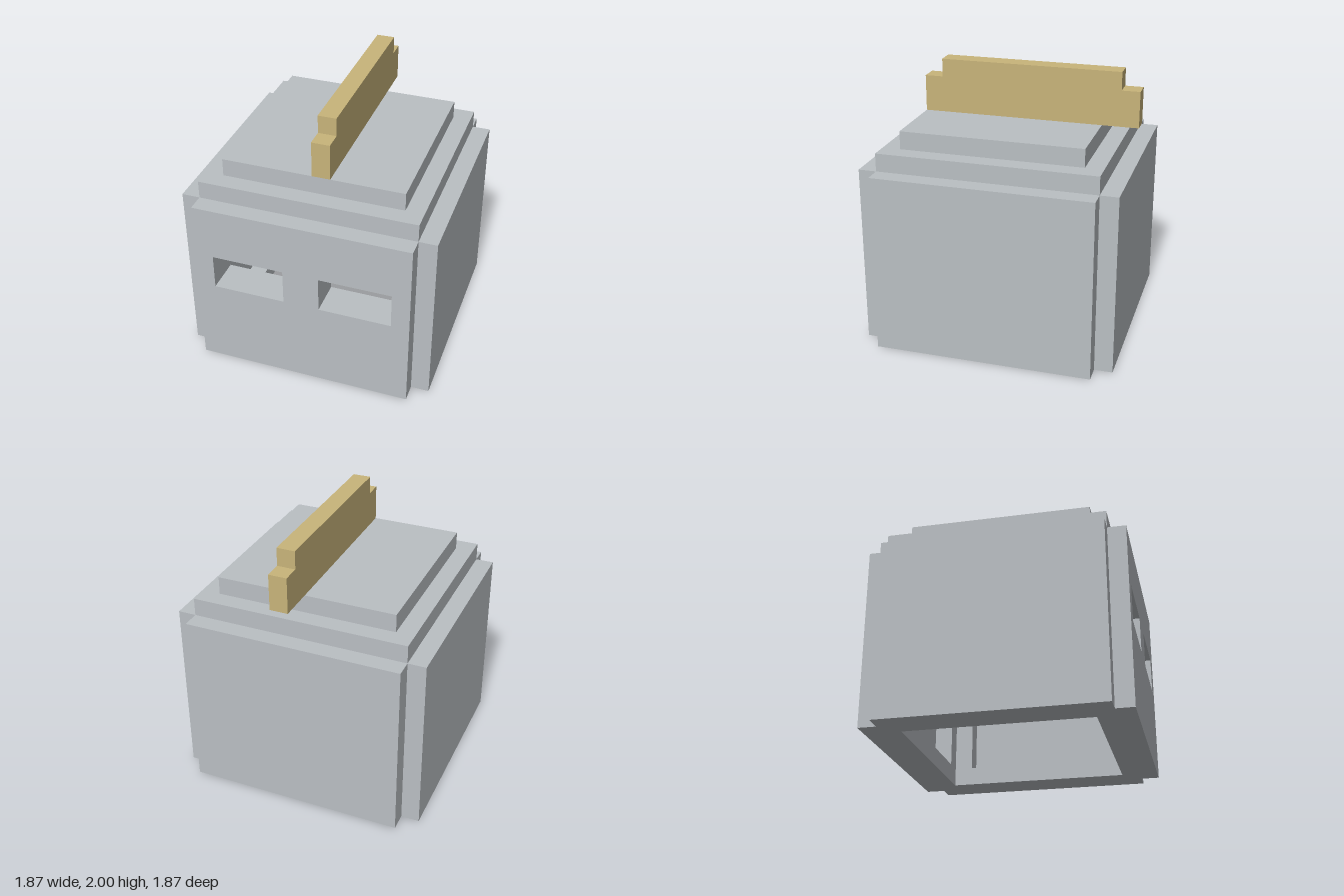
import * as THREE from 'three';

// one block of the model's grid
const U = 2 / 15;

// rectangle outline as points, in blocks
const rect = (x0, y0, x1, y1) =>
  [[x0, y0], [x1, y0], [x1, y1], [x0, y1]].map(([x, y]) => new THREE.Vector2(x * U, y * U));

// flat panel, one block thick, with optional rectangular holes
function panel(outline, holes = []) {
  const shape = new THREE.Shape(outline);
  for (const h of holes) shape.holes.push(new THREE.Path(rect(...h)));
  return new THREE.ExtrudeGeometry(shape, { depth: U, bevelEnabled: false });
}

export function createModel() {
  const steel = new THREE.MeshStandardMaterial({ color: 0xbabfc3 });
  steel.name = 'steelGrey';
  const gold = new THREE.MeshStandardMaterial({ color: 0xc8b47a });
  gold.name = 'crestGold';

  const model = new THREE.Group();
  model.name = 'helmet';

  function add(parent, name, geometry, material) {
    const mesh = new THREE.Mesh(geometry, material);
    mesh.name = name;
    parent.add(mesh);
    return mesh;
  }

  // four walls: an outer plate and an inner lining with a recessed panel
  const eyes = [[-5, 5, -1, 7], [1, 5, 5, 7]];
  const walls = [
    { name: 'front', turn: 0, half: 6, holes: eyes, recess: [-4, 1, 4, 4] },
    { name: 'back', turn: Math.PI, half: 6, holes: [], recess: [-4, 1, 4, 9] },
    { name: 'left', turn: Math.PI / 2, half: 5, holes: [], recess: [-4, 1, 4, 9] },
    { name: 'right', turn: -Math.PI / 2, half: 5, holes: [], recess: [-4, 1, 4, 9] },
  ];
  for (const { name, turn, half, holes, recess } of walls) {
    const wall = new THREE.Group();
    wall.name = name + 'Wall';
    wall.rotation.y = turn;
    add(wall, name + 'Plate', panel(rect(-6, 0, 6, 10), holes), steel).position.z = 6 * U;
    add(wall, name + 'Lining', panel(rect(-half, 0, half, 10), [...holes, recess]), steel).position.z = 5 * U;
    model.add(wall);
  }

  // stepped roof
  [['lowerRoof', 12, 10.5], ['upperRoof', 10, 11.5]].forEach(([name, size, y]) => {
    add(model, name, new THREE.BoxGeometry(size * U, U, size * U), steel).position.y = y * U;
  });

  // crest running front to back, overhanging at the back
  const profile = [[-5, 12], [7, 12], [7, 14], [6, 14], [6, 15], [-4, 15], [-4, 14], [-5, 14]]
    .map(([x, y]) => new THREE.Vector2(x * U, y * U));
  add(model, 'crest', panel(profile), gold).rotation.y = Math.PI / 2;

  return model;
}
